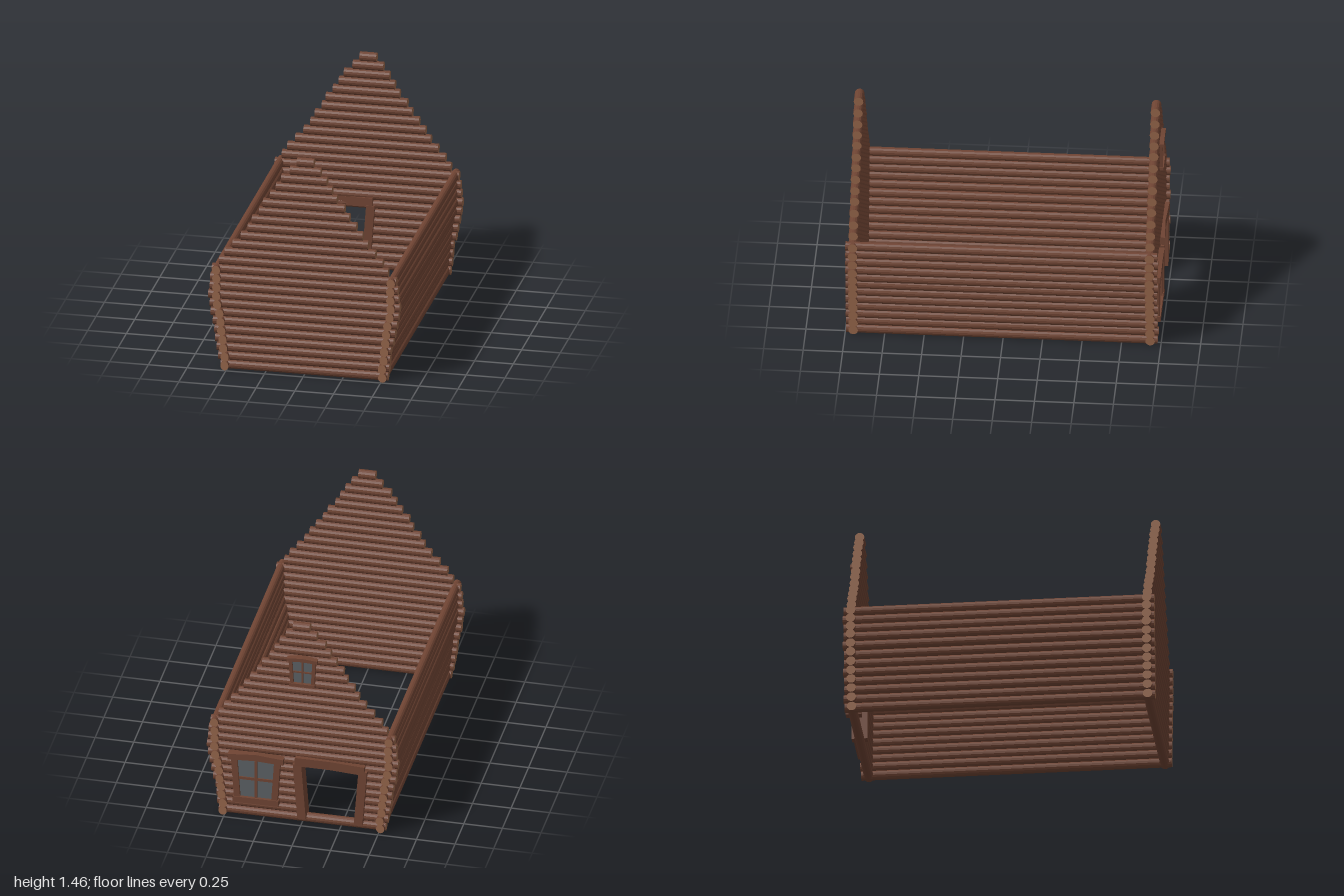
import * as THREE from 'three';

const mat = (name, color) => {
  const m = new THREE.MeshStandardMaterial({ color });
  m.name = name;
  return m;
};

export function createModel() {
  const wood = mat('bark brown', 0x6f4433);
  const cut = mat('cut wood', 0x94654a);
  const glass = mat('window glass', 0x5b6063);
  const house = new THREE.Group();
  house.name = 'logHouse';

  const R = 0.0305, STEP = 0.0585;
  const rowY = (i) => 0.0305 + STEP * i;

  // One log with pale end grain, between two points
  function log(parent, name, a, b, rx = R) {
    const dir = new THREE.Vector3().subVectors(b, a);
    const geo = new THREE.CylinderGeometry(R, R, dir.length(), 14).toNonIndexed();
    geo.computeVertexNormals();
    const m = new THREE.Mesh(geo, [wood, cut, cut]);
    m.name = name;
    m.position.addVectors(a, b).multiplyScalar(0.5);
    m.quaternion.setFromUnitVectors(new THREE.Vector3(0, 1, 0), dir.normalize());
    // thickness across the wall
    m.scale.x = rx / R;
    parent.add(m);
  }
  const v = (x, y, z) => new THREE.Vector3(x, y, z);
  const group = (name) => {
    const g = new THREE.Group();
    g.name = name;
    house.add(g);
    return g;
  };

  // Flat board: outline in x and y, between two depths
  function board(parent, name, pts, z0, z1, material = wood) {
    const shape = new THREE.Shape(pts.map(([x, y]) => new THREE.Vector2(x, y)));
    const geo = new THREE.ExtrudeGeometry(shape, { depth: z1 - z0, bevelEnabled: false });
    const m = new THREE.Mesh(geo, material);
    m.name = name;
    m.position.z = z0;
    parent.add(m);
    return m;
  }

  // Gable walls: left and right log ends, row by row
  const right = [.54, .555, .565, .575, .58, .59, .605, .61, .62, .61, .607, .597, .55,
    .515, .464, .41, .366, .338, .292, .267, .221, .183, .149, .093, .048];
  const left = [.54, .55, .555, .56, .577, .588, .60, .61, .617, .61, .605, .594, .542,
    .507, .46, .412, .378, .337, .292, .26, .211, .18, .146, .106, .061];
  const front = group('frontWall'), back = group('backWall');
  right.forEach((r, i) => {
    const y = rowY(i), l = left[i];
    log(front, 'frontLog', v(-r, y, 0.948), v(l, y, 0.948));
    if (i >= 1 && i <= 6) {
      // gap for the doorway
      log(back, 'backLog', v(-r, y, -0.932), v(-0.385, y, -0.932));
      log(back, 'backLog', v(0.02, y, -0.932), v(l, y, -0.932));
    } else {
      log(back, 'backLog', v(-r, y, -0.932), v(l, y, -0.932));
    }
  });

  // Side walls lean outward toward the eaves
  const sideX = [.51, .508, .518, .522, .53, .535, .543, .557, .564, .562, .562, .565];
  for (const s of [-1, 1]) {
    const wall = group(s > 0 ? 'leftWall' : 'rightWall');
    sideX.forEach((x, i) => {
      const zb = -0.978 - 0.006 * (i % 3 === 1);
      log(wall, 'sideLog', v(s * x, rowY(i), zb), v(s * x, rowY(i), 0.995), 0.027);
    });
  }

  // Door frame with slanted posts and a lintel pinched in the middle
  const door = group('doorFrame');
  board(door, 'doorPost', [[-.395, .04], [-.34, .04], [-.37, .44], [-.425, .44]], -0.985, -0.885);
  board(door, 'doorPost', [[-.03, .04], [.025, .04], [.055, .44], [0, .44]], -0.985, -0.885);
  const lintel = board(door, 'doorLintel',
    [[-.225, .887], [0, .872 + .035], [.225, .887], [.225, .99], [0, .98], [-.225, .99]], 0, 0.06);
  lintel.rotation.set(-Math.PI / 2, -0.03, 0);
  lintel.position.set(-0.183, 0.425, 0);

  // Window, wider at the top: glass, four frame boards and a cross
  function window(name, cx, y0, y1, wb, wt, t, z) {
    const g = group(name);
    const add = (part, pts, out, inner = z + 0.03) =>
      board(g, part, pts.map(([x, y]) => [cx + x, y]), z - out, inner);
    board(g, 'glassPane', [[cx - wb, y0], [cx + wb, y0], [cx + wt, y1], [cx - wt, y1]],
      z, z + 0.008, glass);
    for (const s of [-1, 1]) {
      const p = [[s * wb, y0 - t / 2], [s * (wb + t), y0 - t / 2], [s * (wt + t), y1 + t / 2], [s * wt, y1 + t / 2]];
      add('windowPost', s > 0 ? p : p.reverse(), 0.014);
    }
    const e = wt + t * 1.5, f = wb + t * 1.2;
    add('windowLintel', [[-e, y1], [0, y1 + t * 0.25], [e, y1], [e, y1 + t], [0, y1 + t * 1.4], [-e, y1 + t]], 0.022);
    add('windowSill', [[-f, y0 - t], [f, y0 - t], [f, y0], [-f, y0]], 0.02);
    const b = t * 0.22, ym = (y0 + y1) / 2, wm = (wb + wt) / 2;
    add('uprightBar', [[-b, y0], [b, y0], [b, y1], [-b, y1]], 0.008, z);
    add('crossBar', [[-wm, ym - b], [wm, ym - b], [wm, ym + b], [-wm, ym + b]], 0.008, z);
  }
  window('lowerWindow', 0.295, 0.155, 0.425, 0.1, 0.12, 0.04, -0.972);
  window('gableWindow', -0.005, 1.04, 1.2, 0.056, 0.066, 0.022, -0.966);

  return house;
}
